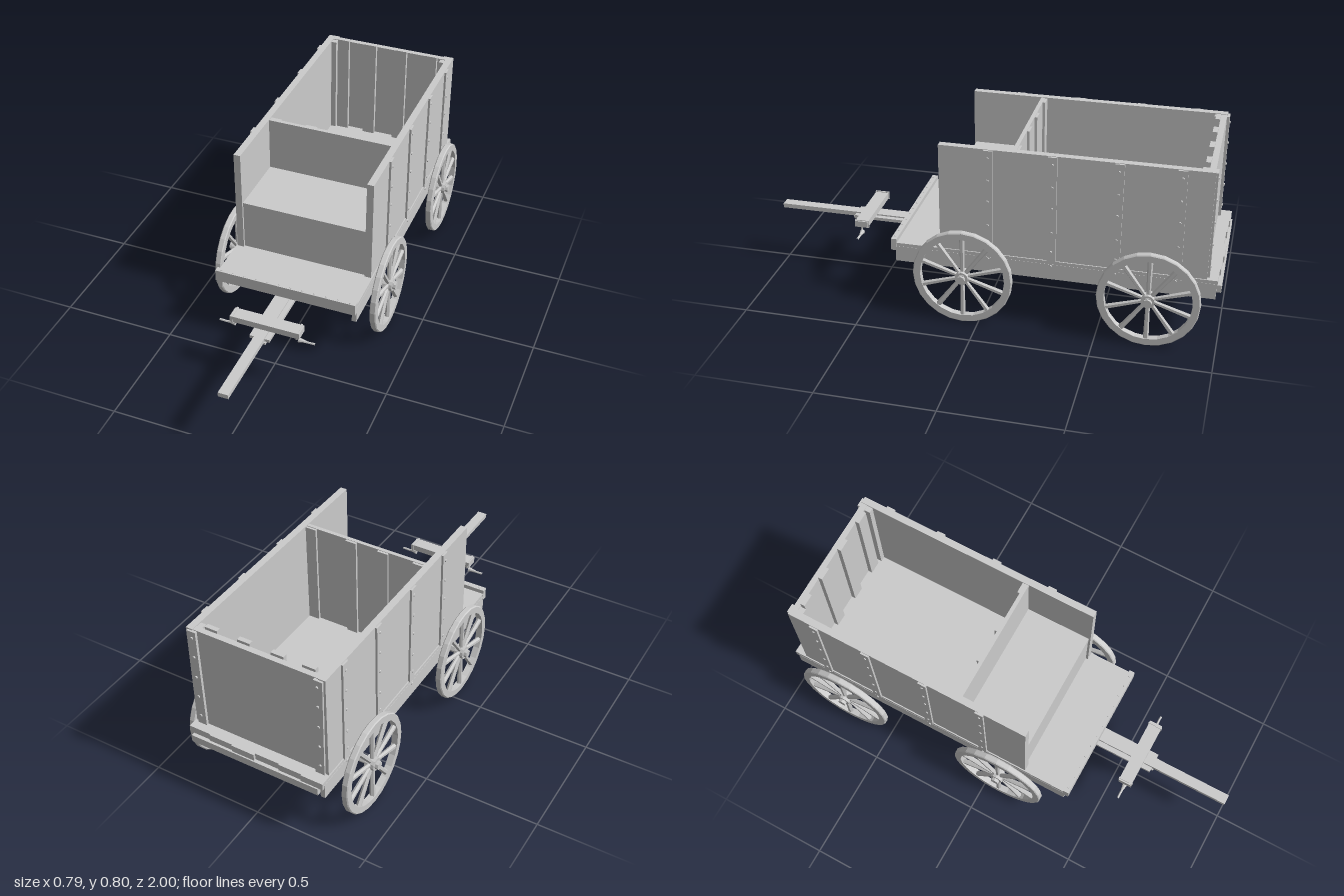
import * as THREE from 'three';

const mat = new THREE.MeshStandardMaterial({ color: 0xcccccc, flatShading: true });

export function createModel() {
  const wagon = new THREE.Group();
  wagon.name = 'wagon';

  function add(name, geometry, parent = wagon) {
    const mesh = new THREE.Mesh(geometry, mat);
    mesh.name = name;
    parent.add(mesh);
    return mesh;
  }

  // Box given by its extents on each axis
  function box(name, x0, x1, y0, y1, z0, z1) {
    const mesh = add(name, new THREE.BoxGeometry(x1 - x0, y1 - y0, z1 - z0));
    mesh.position.set((x0 + x1) / 2, (y0 + y1) / 2, (z0 + z1) / 2);
    return mesh;
  }

  // Cylinder lying along x
  function rodX(name, r0, r1, x0, x1, y, z, sides, parent = wagon) {
    const g = new THREE.CylinderGeometry(r1, r0, x1 - x0, sides).rotateZ(-Math.PI / 2);
    const mesh = add(name, g, parent);
    mesh.position.set((x0 + x1) / 2, y, z);
    return mesh;
  }

  // Small bolt head facing sideways, backwards or up
  function bolt(x, y, z, axis) {
    const g = new THREE.CylinderGeometry(0.005, 0.007, 0.006, 6);
    if (axis === 'x') g.rotateZ(x > 0 ? -Math.PI / 2 : Math.PI / 2);
    if (axis === 'z') g.rotateX(-Math.PI / 2);
    add('bolt', g).position.set(x, y, z);
  }

  // Chassis: thin floor recessed between deep side rails, cross boards
  for (const s of [-1, 1]) {
    box('sideRail', s * 0.305 - 0.01, s * 0.305 + 0.01, 0.23, 0.3, -0.98, 0.37);
  }
  box('frontBoard', -0.316, 0.316, 0.28, 0.333, 0.365, 0.39);
  box('rearBoard', -0.295, 0.295, 0.252, 0.285, -1, -0.965);

  // Floor planks running lengthwise, with slightly uneven rear ends
  const cuts = [-0.314, -0.215, -0.11, 0, 0.105, 0.215, 0.314];
  for (let i = 0; i < 6; i++) {
    box('floorPlank', cuts[i], cuts[i + 1], 0.284, 0.315, -0.994 + (i % 3) * 0.005, 0.365);
  }
  for (let i = 0; i < 12; i++) bolt(-0.29 + i * 0.0527, 0.332, 0.378, 'y');

  // Side walls with bolted straps
  const strapZ = [-0.033, -0.3, -0.567, -0.816];
  for (const s of [-1, 1]) {
    box('sideWall', s * 0.294 - 0.015, s * 0.294 + 0.015, 0.315, 0.79, -0.94, 0.175);
    strapZ.forEach((z, i) => {
      const strap = box('wallStrap', s * 0.313 - 0.005, s * 0.313 + 0.005, 0.312, 0.788, z - 0.019, z + 0.019);
      strap.rotation.x = (i % 2 ? 1 : -1) * 0.006;
      for (const y of [0.36, 0.45, 0.56, 0.655, 0.755]) bolt(s * 0.319, y, z, 'x');
      bolt(s * 0.316, 0.292, z, 'x');
    });

    // Rear corner posts, inside and out
    const post = box('rearPost', s * 0.278 - 0.02, s * 0.278 + 0.02, 0.316, 0.785, -0.949, -0.932);
    post.rotation.z = s * -0.012;
    for (const y of [0.36, 0.46, 0.56, 0.66, 0.755]) bolt(s * 0.278, y, -0.951, 'z');
    box('innerPost', s * 0.268 - 0.013, s * 0.268 + 0.013, 0.315, 0.785, -0.915, -0.885);
  }

  // Rear wall with inner battens standing slightly proud
  box('rearWall', -0.282, 0.282, 0.315, 0.788, -0.937, -0.912);
  for (const x of [-0.222, -0.085, 0.065, 0.212]) {
    box('rearBatten', x - 0.028, x + 0.028, 0.315, 0.8, -0.913, -0.893);
  }

  // Driver's seat: front panel, top, backrest with battens behind
  box('seatFront', -0.281, 0.281, 0.315, 0.53, 0.14, 0.165);
  box('seatTop', -0.281, 0.281, 0.525, 0.545, -0.13, 0.167);
  box('backrest', -0.281, 0.281, 0.315, 0.788, -0.145, -0.128);
  for (const x of [-0.255, -0.09, 0.06, 0.255]) {
    box('backrestBatten', x - 0.025, x + 0.025, 0.315, 0.786, -0.156, -0.144);
  }

  // Wheel: rim, tapered spokes, stepped hub; its axis lies along x
  const R = 0.214;
  const rimProfile = [[0.182, -0.014], [R - 0.004, -0.014], [R, -0.01], [R, 0.01],
    [R - 0.004, 0.014], [0.182, 0.014], [0.182, -0.014]].map(p => new THREE.Vector2(...p));
  const rimGeo = new THREE.LatheGeometry(rimProfile, 24).rotateZ(-Math.PI / 2);
  const spokeGeo = new THREE.CylinderGeometry(0.012, 0.009, 0.17, 6).translate(0, 0.105, 0);
  function wheel(name, x, z) {
    const g = new THREE.Group();
    g.name = name;
    const s = Math.sign(x);
    add('rim', rimGeo, g);
    for (let i = 0; i < 10; i++) add('spoke', spokeGeo, g).rotation.x = i * Math.PI / 5;
    rodX('hub', 0.029, 0.029, -0.021, 0.021, 0, 0, 12, g);
    rodX('hubCap', 0.018, 0.018, s * 0.026 - 0.009, s * 0.026 + 0.009, 0, 0, 8, g);
    g.position.set(x, R, z);
    wagon.add(g);
  }
  for (const [label, z, rightX] of [['front', 0.067, -0.36], ['rear', -0.714, -0.367]]) {
    wheel(label + 'LeftWheel', 0.355, z);
    wheel(label + 'RightWheel', rightX, z);
    rodX(label + 'Axle', 0.018, 0.018, -0.38, 0.38, 0.217, z, 6);
  }

  // Drawbar: long pole clamped into a wider tongue under the floor
  box('pole', -0.021, 0.023, 0.26, 0.28, 0.22, 1);
  for (const s of [-1, 1]) {
    box('tongueCheek', s * 0.033 - 0.011, s * 0.033 + 0.011, 0.26, 0.274, 0.22, 0.65);
  }
  box('tonguePlate', -0.028, 0.03, 0.252, 0.262, 0.2, 0.66);
  box('tongueBracket', -0.055, 0.055, 0.258, 0.285, 0.19, 0.23);

  // Crossbar with a hanging hook at each end
  box('crossbar', -0.15, 0.157, 0.28, 0.308, 0.55, 0.608);
  for (const s of [-1, 1]) {
    const cx = 0.003;
    box('crossbarBand', cx + s * 0.143 - 0.004, cx + s * 0.143 + 0.004, 0.277, 0.311, 0.547, 0.611);
    const path = new THREE.CatmullRomCurve3([[0.143, 0.28, 0.58], [0.14, 0.262, 0.583],
      [0.148, 0.25, 0.58], [0.17, 0.249, 0.58], [0.212, 0.25, 0.58]]
      .map(([x, y, z]) => new THREE.Vector3(cx + s * x, y, z)));
    add('hook', new THREE.TubeGeometry(path, 14, 0.005, 6));
    const [inner, outer] = [0.011, 0.004];
    rodX('hookCone', s > 0 ? inner : outer, s > 0 ? outer : inner,
      cx + s * 0.158 - 0.018, cx + s * 0.158 + 0.018, 0.251, 0.58, 8);
  }
  return wagon;
}
